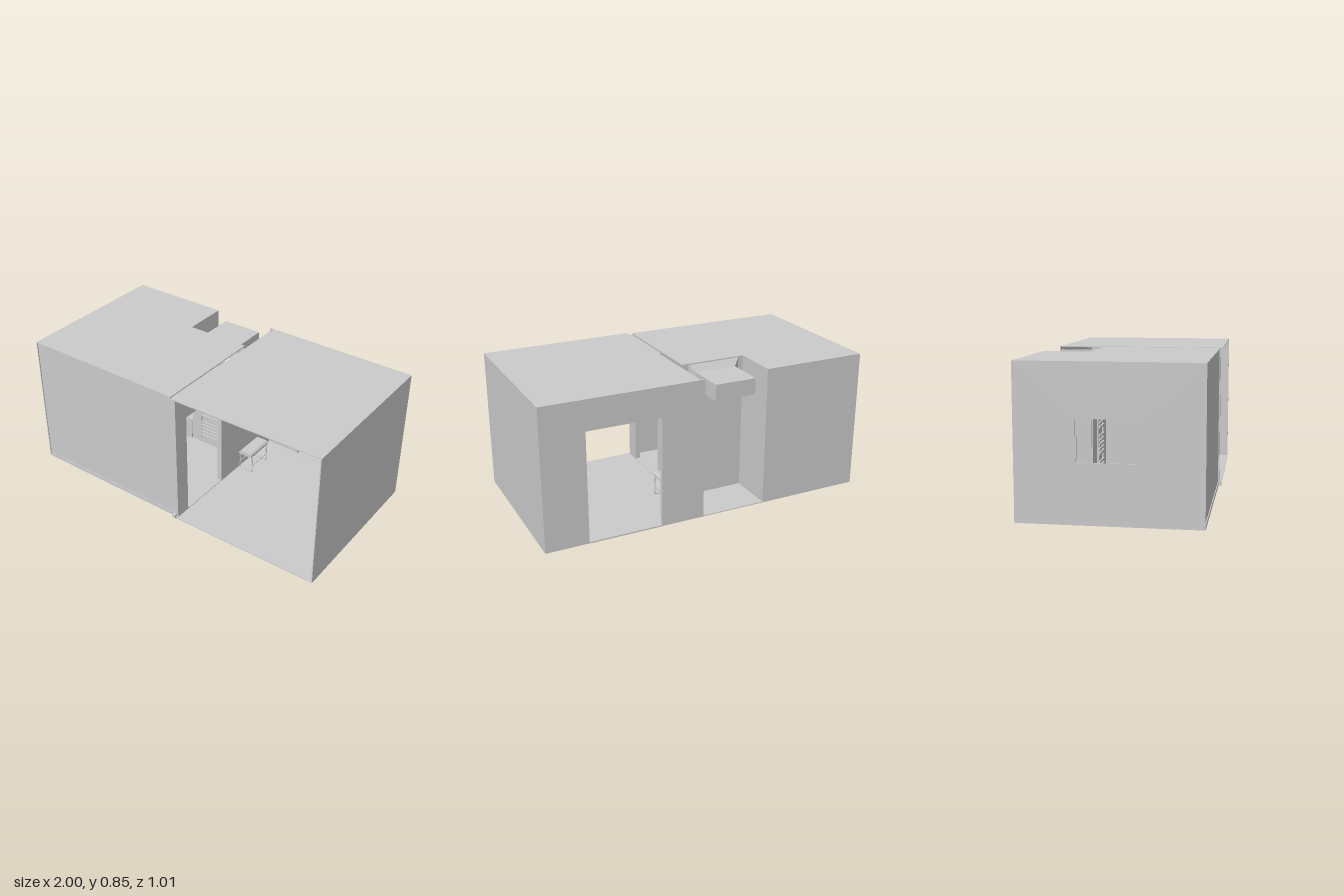
import * as THREE from 'three';

const mat = new THREE.MeshStandardMaterial({ color: 0xcccccc, side: THREE.DoubleSide, flatShading: true });
const smooth = new THREE.MeshStandardMaterial({ color: 0xcccccc, side: THREE.DoubleSide });
const H = 0.845, FLOOR = 0.008, T = 0.006, BACK = -0.505;

export function createModel() {
  const root = new THREE.Group();

  const add = (name, geometry, parent = root, material = mat) => {
    const mesh = new THREE.Mesh(geometry, material);
    mesh.name = name;
    parent.add(mesh);
    return mesh;
  };
  // Box given by its limits on each axis
  const box = (name, x0, x1, y0, y1, z0, z1, parent = root) =>
    add(name, new THREE.BoxGeometry(x1 - x0, y1 - y0, z1 - z0)
      .translate((x0 + x1) / 2, (y0 + y1) / 2, (z0 + z1) / 2), parent);
  const outline = (points) => new THREE.Shape(points.map(([x, y]) => new THREE.Vector2(x, y)));
  const rect = (a0, a1, b0, b1) => outline([[a0, b0], [a1, b0], [a1, b1], [a0, b1]]);
  // Horizontal slab from an x/z outline, with its upper face at y
  const slab = (name, points, y, depth) =>
    add(name, new THREE.ExtrudeGeometry(outline(points), { depth, bevelEnabled: false })
      .rotateX(Math.PI / 2).translate(0, y, 0));
  // Wall facing z with a hole
  const holedWall = (shape, hole, depth) => {
    shape.holes.push(hole);
    return new THREE.ExtrudeGeometry(shape, { depth, bevelEnabled: false });
  };
  const tube = (name, points, r, parent, closed = false) =>
    add(name, new THREE.TubeGeometry(new THREE.CatmullRomCurve3(
      points.map((p) => new THREE.Vector3(...p)), closed, 'catmullrom', 0.1), 32, r, 6, closed), parent, smooth);

  // Floor and ceilings; the left ceiling has a notch for the shaft
  slab('floor', [[-1, BACK], [1, BACK], [1, 0.487], [0.07, 0.5], [0.04, 0.485], [-1, 0.485]], FLOOR, 0.005);
  slab('bathroomCeiling', [[-1, BACK], [-0.36, BACK], [-0.36, -0.225], [0.04, -0.225], [0.04, 0.485], [-1, 0.485]], H, T);
  slab('bedroomCeiling', [[0.07, BACK], [1, BACK], [1, 0.487], [0.07, 0.5]], H, T);

  // Bathroom walls
  box('bathroomFrontWall', -1, 0.04, FLOOR, H, 0.472, 0.48);
  box('frontSkirting', -0.99, 0.04, FLOOR, 0.025, 0.48, 0.485);
  box('bathroomBackWall', -1, -0.36, FLOOR, H, BACK, BACK + T);
  box('shaftSideWall', -0.36 - T, -0.36, FLOOR, H, BACK, -0.225);
  add('bathroomWindowWall', holedWall(rect(-0.485, 0.505, FLOOR, H), rect(-0.17, 0.18, 0.33, 0.555), T)
    .rotateY(Math.PI / 2).translate(-1, 0, 0));
  add('shaftBackWall', holedWall(rect(-0.36, 0.04, FLOOR, H), rect(-0.33, 0, 0.68, 0.838), T)
    .translate(0, 0, -0.225));

  // Partition with a doorway
  const partition = new THREE.Group();
  partition.name = 'partition';
  root.add(partition);
  box('partitionBack', 0.04, 0.07, FLOOR, 0.825, BACK, 0.05, partition);
  box('partitionPier', 0.04, 0.07, FLOOR, 0.835, 0.39, 0.487, partition);
  box('partitionLintel', 0.04, 0.07, 0.67, 0.835, 0.05, 0.39, partition);
  box('partitionThreshold', 0.04, 0.07, 0, 0.012, 0.04, 0.5, partition);
  box('partitionFoot', 0.04, 0.06, 0.004, 0.025, 0.487, 0.505, partition);

  // Bedroom walls, door frame and skirting
  const doorWall = outline([[0.04, FLOOR], [0.285, FLOOR], [0.285, 0.68], [0.76, 0.68], [0.76, FLOOR],
    [1, FLOOR], [1, H], [0.04, H]]);
  add('bedroomDoorWall', new THREE.ExtrudeGeometry(doorWall, { depth: T, bevelEnabled: false }).translate(0, 0, BACK));
  box('bedroomSideWall', 1 - T, 1, FLOOR, H, BACK, 0.487);
  const frame = outline([[0.285, FLOOR], [0.302, FLOOR], [0.302, 0.667], [0.745, 0.667], [0.745, FLOOR],
    [0.76, FLOOR], [0.76, 0.68], [0.285, 0.68]]);
  add('doorFrame', new THREE.ExtrudeGeometry(frame, { depth: 0.025, bevelEnabled: false }).translate(0, 0, BACK));
  box('doorThreshold', 0.302, 0.745, 0.002, 0.01, BACK, BACK + 0.03);
  box('skirtingByPartition', 0.07, 0.285, FLOOR, 0.026, BACK + T, -0.49);
  box('skirtingByCorner', 0.76, 0.994, FLOOR, 0.026, BACK + T, -0.49);

  // Flared duct in the shaft: rings of x0, x1, y0, y1, z
  const rings = [[-0.33, 0, 0.68, 0.838, -0.225], [-0.29, -0.035, 0.7, 0.797, -0.255], [-0.29, -0.035, 0.7, 0.797, -0.49]];
  const pos = [], idx = [];
  rings.forEach(([x0, x1, y0, y1, z]) => pos.push(x0, y0, z, x1, y0, z, x1, y1, z, x0, y1, z));
  for (let r = 0; r < 2; r++) {
    for (let i = 0; i < 4; i++) {
      const a = r * 4 + i, b = r * 4 + (i + 1) % 4;
      idx.push(a, a + 4, b + 4, a, b + 4, b);
    }
  }
  idx.push(8, 11, 10, 8, 10, 9);
  const duct = new THREE.BufferGeometry();
  duct.setAttribute('position', new THREE.Float32BufferAttribute(pos, 3));
  duct.setIndex(idx);
  const ductFlat = duct.toNonIndexed();
  ductFlat.computeVertexNormals();
  add('duct', ductFlat);

  // Built-in tub and screen in the back alcove
  const tub = new THREE.Group();
  tub.name = 'builtInTub';
  root.add(tub);
  const basin = new THREE.Path().absellipse(-0.68, -0.355, 0.26, 0.11, 0, Math.PI * 2);
  add('tubRim', holedWall(rect(-1.001, -0.36, -0.506, -0.21), basin, 0.012)
    .rotateX(Math.PI / 2).translate(0, 0.157, 0), tub);
  box('tubPanel', -0.994, -0.366, FLOOR, 0.146, -0.22, -0.212, tub);
  const bowl = [[0.001, 0.04], [0.7, 0.045], [0.9, 0.08], [1, 0.15]].map(([x, y]) => new THREE.Vector2(x, y));
  add('tubBowl', new THREE.LatheGeometry(bowl, 32).scale(0.26, 1, 0.11).translate(-0.68, 0, -0.355), tub, smooth);
  box('showerScreen', -0.783, -0.777, 0.157, 0.77, -0.506, -0.22, tub);

  // Oval washbasin on a foot
  const wash = [[0.001, 0.01], [0.45, 0.01], [0.4, 0.1], [1, 0.19], [1, 0.2], [0.93, 0.2], [0.6, 0.15], [0.001, 0.14]]
    .map(([x, y]) => new THREE.Vector2(x, y));
  add('washbasin', new THREE.LatheGeometry(wash, 32).scale(0.13, 1, 0.17).translate(-0.72, 0, 0.2), root, smooth);

  // Ladder towel rail on the shaft wall
  const rail = new THREE.Group();
  rail.name = 'towelRail';
  root.add(rail);
  for (const x of [-0.28, -0.13]) box('railPost', x - 0.005, x + 0.005, 0.06, 0.56, -0.21, -0.2, rail);
  for (let i = 0; i < 19; i++) {
    if (i % 6 === 5) continue;
    const y = 0.075 + i * 0.026;
    box('railRung', -0.28, -0.13, y, y + 0.012, -0.204, -0.194, rail);
  }

  // Bench with looped legs and a padded seat
  const bench = new THREE.Group();
  bench.name = 'bench';
  root.add(bench);
  const seat = outline([[0.085, 0.128], [0.175, 0.128], [0.175, 0.142], [0.165, 0.153], [0.095, 0.153], [0.085, 0.142]]);
  add('benchSeat', new THREE.ExtrudeGeometry(seat, { depth: 0.19, bevelEnabled: false }).translate(0, 0, -0.31), bench);
  for (const z of [-0.295, -0.135]) {
    tube('benchLegLoop', [[0.085, 0.015, z], [0.085, 0.07, z], [0.085, 0.13, z], [0.175, 0.13, z],
      [0.175, 0.07, z], [0.175, 0.015, z]], 0.004, bench, true);
  }
  for (const x of [0.085, 0.175]) tube('benchStretcher', [[x, 0.06, -0.295], [x, 0.06, -0.135]], 0.003, bench);

  // Row of coat hooks on the partition
  const hooks = new THREE.Group();
  hooks.name = 'coatHooks';
  root.add(hooks);
  for (let i = 0; i < 4; i++) {
    const z = -0.245 + i * 0.035;
    add('hookPeg', new THREE.CylinderGeometry(0.005, 0.005, 0.02, 10).rotateZ(Math.PI / 2).translate(0.08, 0.512, z), hooks, smooth);
    add('hookKnob', new THREE.CylinderGeometry(0.009, 0.009, 0.006, 12).rotateZ(Math.PI / 2).translate(0.092, 0.512, z), hooks, smooth);
  }
  return root;
}
